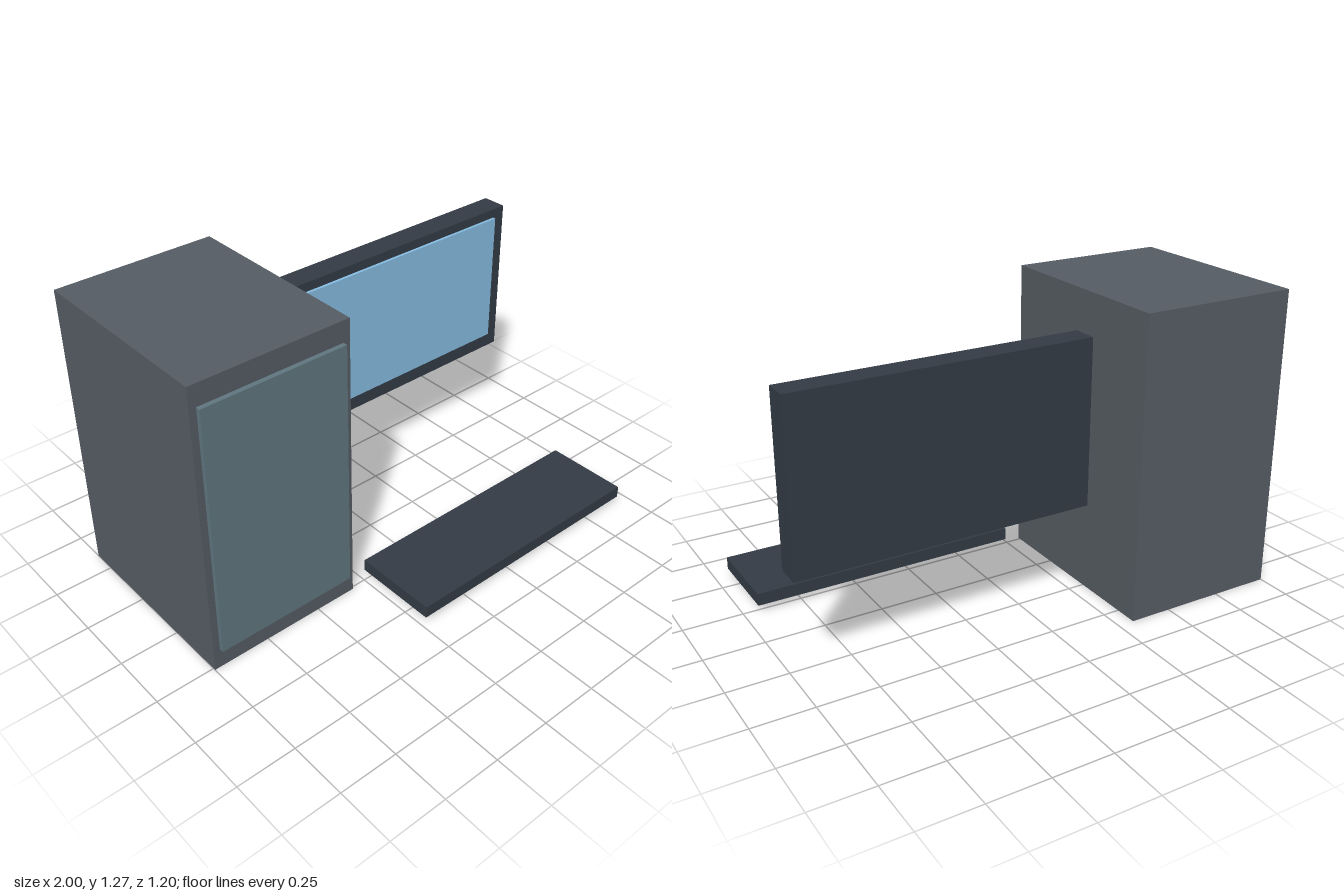
import * as THREE from 'three';

const COLORS = { casing: 0x555c63, panel: 0x5f757f, dark: 0x333b45, screen: 0x85bbe0 };

// Box given by its [min, max] extent on each axis
function box(name, color, [x0, x1], [y0, y1], [z0, z1]) {
  const mesh = new THREE.Mesh(
    new THREE.BoxGeometry(x1 - x0, y1 - y0, z1 - z0),
    new THREE.MeshStandardMaterial({ color })
  );
  mesh.position.set((x0 + x1) / 2, (y0 + y1) / 2, (z0 + z1) / 2);
  mesh.name = name;
  return mesh;
}

function assembly(name, ...parts) {
  const group = new THREE.Group();
  group.name = name;
  group.add(...parts);
  return group;
}

export function createModel() {
  return assembly('desktopComputer',
    // Computer case with a raised front panel
    assembly('tower',
      box('towerCase', COLORS.casing, [-1, -0.32], [0, 1.27], [-0.6, 0.26]),
      box('frontPanel', COLORS.panel, [-0.97, -0.35], [0.09, 1.18], [0.25, 0.28])),
    // Display with a screen standing slightly proud of its frame
    assembly('monitor',
      box('monitorFrame', COLORS.dark, [-0.25, 1], [0.43, 1.13], [-0.36, -0.253]),
      box('screen', COLORS.screen, [-0.19, 0.94], [0.5, 1.09], [-0.26, -0.24])),
    // Keyboard slab
    box('keyboard', COLORS.dark, [-0.23, 0.94], [0.03, 0.083], [0.23, 0.6]));
}
